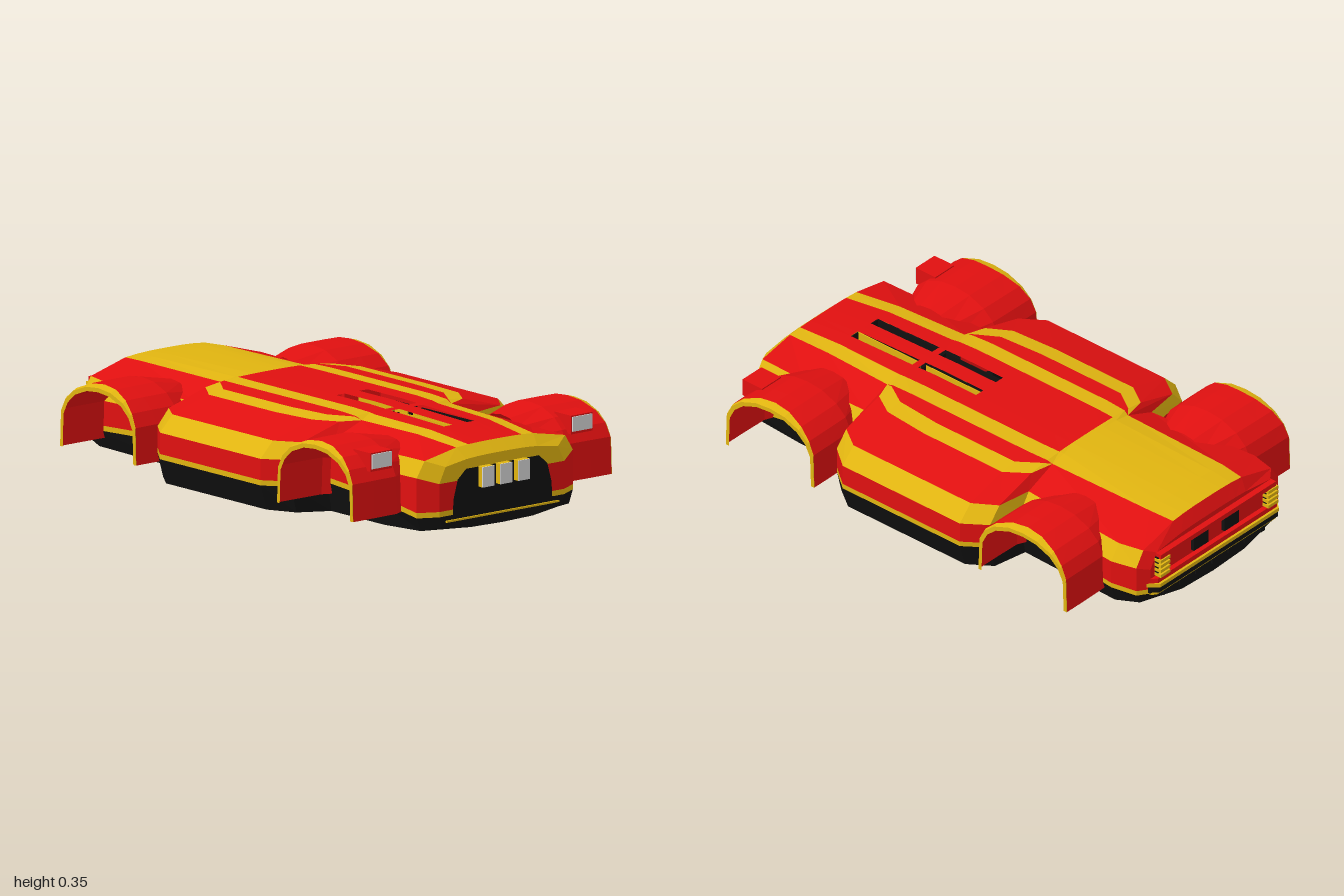
import * as THREE from 'three';

const paint = (name, color, double) => {
  const m = new THREE.MeshStandardMaterial({ color, flatShading: true });
  m.name = name;
  if (double) m.side = THREE.DoubleSide;
  return m;
};

export function createModel() {
  const car = new THREE.Group();
  car.name = 'carBody';
  const mats = {
    red: paint('red paint', 0xe01010, true),
    yellow: paint('yellow paint', 0xe0b410, true),
    black: paint('black trim', 0x101010, true),
    white: paint('lamp white', 0xd8d8d8),
  };

  const add = (name, geometry, mat, parent = car) => {
    const mesh = new THREE.Mesh(geometry, mats[mat]);
    mesh.name = name;
    parent.add(mesh);
  };
  const box = (name, mat, x0, x1, y0, y1, z0, z1) => {
    const g = new THREE.BoxGeometry(x1 - x0, y1 - y0, z1 - z0);
    g.translate((x0 + x1) / 2, (y0 + y1) / 2, (z0 + z1) / 2);
    add(name, g, mat);
  };
  // Collects quads per colour and turns each colour into one mesh
  const collector = () => {
    const sets = {};
    return {
      quad(mat, a, b, c, d) {
        (sets[mat] ??= []).push(...a, ...b, ...c, ...a, ...c, ...d);
      },
      build(name, parent) {
        for (const mat in sets) {
          const g = new THREE.BufferGeometry();
          g.setAttribute('position', new THREE.Float32BufferAttribute(sets[mat], 3));
          g.computeVertexNormals();
          add(`${name} ${mat}`, g, mat, parent);
        }
      },
    };
  };

  // Body stations: z, inner stripe edge, outer stripe start (0 = none), half width, top y, sill y, bottom y
  const stations = [
    [0.97, 0.17, 0, 0.30, 0.275, 0.09, 0.03],
    [0.93, 0.185, 0, 0.375, 0.315, 0.09, 0.02],
    [0.73, 0.20, 0, 0.38, 0.338, 0.12, 0.01],
    [0.43, 0.215, 0, 0.38, 0.346, 0.14, 0.01],
    [0.40, 0.218, 0.225, 0.53, 0.347, 0.14, 0.02],
    [0.31, 0.22, 0.28, 0.60, 0.35, 0.14, 0.025],
    [0.12, 0.22, 0.295, 0.60, 0.35, 0.14, 0.025],
    [-0.26, 0.22, 0.295, 0.60, 0.35, 0.14, 0.025],
    [-0.35, 0.215, 0.235, 0.535, 0.35, 0.14, 0.025],
    [-0.37, 0.21, 0, 0.38, 0.35, 0.14, 0.02],
    [-0.84, 0.20, 0, 0.42, 0.34, 0.125, 0.04],
    [-0.94, 0.19, 0, 0.395, 0.334, 0.12, 0.06],
    [-0.97, 0.18, 0, 0.35, 0.285, 0.12, 0.08],
  ];
  // Half section from the roof centre, over the shoulder, down to the floor centre
  const section = ([z, stripe, outer, w, yTop, ySill, yFloor]) => {
    const shoulder = w * 0.9;
    const yShoulder = Math.min(0.28, yTop - 0.02);
    const edges = outer ? [outer, outer + 0.07] : [stripe, stripe];
    return [
      ...[0, 0.035, 0.075, stripe * 0.69, stripe, ...edges, shoulder]
        .map(x => [x, yTop - (yTop - yShoulder) * (x / shoulder) ** 3, z]),
      [w, yShoulder - 0.06, z], [w, ySill, z], [w, ySill - 0.02, z],
      [w * 0.95, yFloor, z], [w * 0.5, yFloor * 0.4, z], [0, yFloor * 0.3, z],
    ];
  };
  const bands = ['red', 'red', 'red', 'yellow', 'red', 'yellow', 'red', 'yellow', 'red', 'yellow',
    'black', 'black', 'black'];
  const rings = stations.map(section);
  const flip = ([x, y, z]) => [-x, y, z];
  const slots = [[0.12, 0.40], [0.43, 0.73]];

  const body = collector();
  for (let s = 0; s < rings.length - 1; s++) {
    const z0 = stations[s][0], z1 = stations[s + 1][0];
    const slotted = slots.some(([back, front]) => z0 <= front && z1 >= back);
    for (let i = 0; i < bands.length; i++) {
      if (slotted && i === 1) continue;
      let mat = bands[i];
      if (s === 0 && i < 8) mat = 'yellow';
      if (z0 <= -0.35 && i < 4) mat = 'yellow';
      if (z0 <= -0.93 && i < 8) mat = 'red';
      const q = [rings[s][i], rings[s][i + 1], rings[s + 1][i + 1], rings[s + 1][i]];
      body.quad(mat, ...q);
      body.quad(mat, ...q.map(flip).reverse());
    }
  }
  // End caps follow the same bands
  const nose = rings[0], tail = rings[rings.length - 1];
  for (let i = 0; i < bands.length; i++) {
    const cap = r => [flip(r[i]), flip(r[i + 1]), r[i + 1], r[i]];
    body.quad(i < 8 ? 'yellow' : bands[i], ...cap(nose));
    body.quad(i < 9 ? 'red' : bands[i], ...cap(tail).reverse());
  }
  body.build('body', car);

  // Sunken bonnet slots with a yellow inner wall
  for (const side of [-1, 1]) {
    const span = (u, v) => [Math.min(side * u, side * v), Math.max(side * u, side * v)];
    for (const [z0, z1] of slots) {
      box('slotFloor', 'black', ...span(0.03, 0.08), 0.28, 0.29, z0, z1);
      box('slotInnerWall', 'yellow', ...span(0.031, 0.035), 0.28, 0.334, z0, z1);
      box('slotOuterWall', 'black', ...span(0.075, 0.079), 0.28, 0.334, z0, z1);
      for (const z of [z0, z1]) {
        box('slotEnd', 'black', ...span(0.035, 0.075), 0.28, 0.334, z - 0.002, z + 0.002);
      }
    }
  }

  // Wheel arches: open shells with a yellow rim
  const halfArch = [[0.215, 0.08], [0.21, 0.22], [0.185, 0.27], [0.14, 0.31], [0.07, 0.338]];
  const arch = [...halfArch, [0, 0.345], ...halfArch.map(([z, y]) => [-z, y]).reverse()];
  const archPoint = (x, sy, sz, [z, y]) => [x, 0.08 + (y - 0.08) * sy, z * sz];
  const lip = y => 0.62 - 0.03 * ((y - 0.08) / 0.265) ** 6;
  const columns = [
    p => archPoint(0.27, 0.9, 0.7, p),
    p => archPoint(0.41, 1, 0.99, p),
    p => archPoint(0.52, 1, 1, p),
    p => archPoint(lip(p[1]), 0.995, 1, p),
    p => archPoint(0.622, 0.96, 1, p),
    p => archPoint(0.622, 0.9, 0.93, p),
  ];
  const archMats = ['red', 'red', 'red', 'yellow', 'yellow'];
  for (const [name, zc] of [['frontFender', 0.645], ['rearFender', -0.585]]) {
    for (const side of [1, -1]) {
      const group = new THREE.Group();
      group.name = (side > 0 ? 'left ' : 'right ') + name;
      group.position.z = zc;
      const shell = collector();
      for (let k = 0; k < arch.length - 1; k++) {
        archMats.forEach((mat, c) => {
          const q = [columns[c](arch[k]), columns[c + 1](arch[k]),
            columns[c + 1](arch[k + 1]), columns[c](arch[k + 1])];
          shell.quad(mat, ...(side > 0 ? q : q.map(flip).reverse()));
        });
      }
      shell.build('fender', group);
      car.add(group);
    }
  }

  // Headlamps
  for (const x of [-0.482, 0.482]) {
    box('headlampHousing', 'red', x - 0.052, x + 0.052, 0.255, 0.325, 0.76, 0.855);
    box('headlampLens', 'white', x - 0.047, x + 0.047, 0.265, 0.32, 0.853, 0.86);
  }

  // Grille mouth
  const half = [[0.24, 0.055], [0.235, 0.13], [0.215, 0.2], [0.175, 0.235]];
  const mouth = [...half, ...half.map(([x, y]) => [-x, y]).reverse()];
  const grille = new THREE.ShapeGeometry(new THREE.Shape(mouth.map(p => new THREE.Vector2(...p))));
  grille.translate(0, 0, 0.974);
  add('grille', grille, 'black');
  box('noseLine', 'yellow', -0.27, 0.27, 0.046, 0.053, 0.96, 0.977);
  for (const x of [-0.088, -0.003, 0.083]) {
    box('grilleBlock', 'yellow', x - 0.028, x + 0.028, 0.16, 0.236, 0.96, 0.996);
    box('grilleLamp', 'white', x - 0.028, x + 0.028, 0.16, 0.236, 0.996, 1.0);
  }

  // Rear bumper slabs
  const slab = (name, mat, y0, y1, out) => {
    const pts = [[-0.39, -0.93], [-0.33, -out], [0.33, -out], [0.39, -0.93]];
    const g = new THREE.ExtrudeGeometry(new THREE.Shape(pts.map(p => new THREE.Vector2(...p))),
      { depth: y1 - y0, bevelEnabled: false });
    g.rotateX(Math.PI / 2).translate(0, y1, 0);
    add(name, g, mat);
  };
  slab('rearBumperTop', 'red', 0.145, 0.165, 0.99);
  slab('rearBumperStripe', 'yellow', 0.13, 0.145, 1.0);
  slab('rearBumper', 'black', 0.105, 0.13, 0.995);
  slab('rearLowerStripe', 'yellow', 0.092, 0.105, 0.985);
  slab('diffuserPanel', 'black', 0.075, 0.092, 0.97);

  // Rear panel: lip, vents, tail lamps and diffuser fins
  box('rearLip', 'red', -0.32, 0.32, 0.245, 0.265, -0.995, -0.96);
  for (const side of [-1, 1]) {
    box('rearVent', 'black', side * 0.085 - 0.04, side * 0.085 + 0.04, 0.18, 0.235, -0.985, -0.965);
    box('tailLampBack', 'black', side * 0.3 - 0.025, side * 0.3 + 0.025, 0.17, 0.25, -0.985, -0.955);
    for (let k = 0; k < 4; k++) {
      const y = 0.17 + k * 0.021;
      box('tailLampSlat', 'yellow', side * 0.3 - 0.027, side * 0.3 + 0.027, y, y + 0.013, -1.0, -0.96);
    }
  }
  for (let k = -3; k <= 3; k++) {
    box('diffuserFin', 'black', k * 0.09 - 0.012, k * 0.09 + 0.012, 0.06, 0.09, -0.975, -0.9);
    if (k < 3) box('diffuserMark', 'yellow', k * 0.09 + 0.03, k * 0.09 + 0.06, 0.07, 0.077, -0.965, -0.93);
  }
  return car;
}
